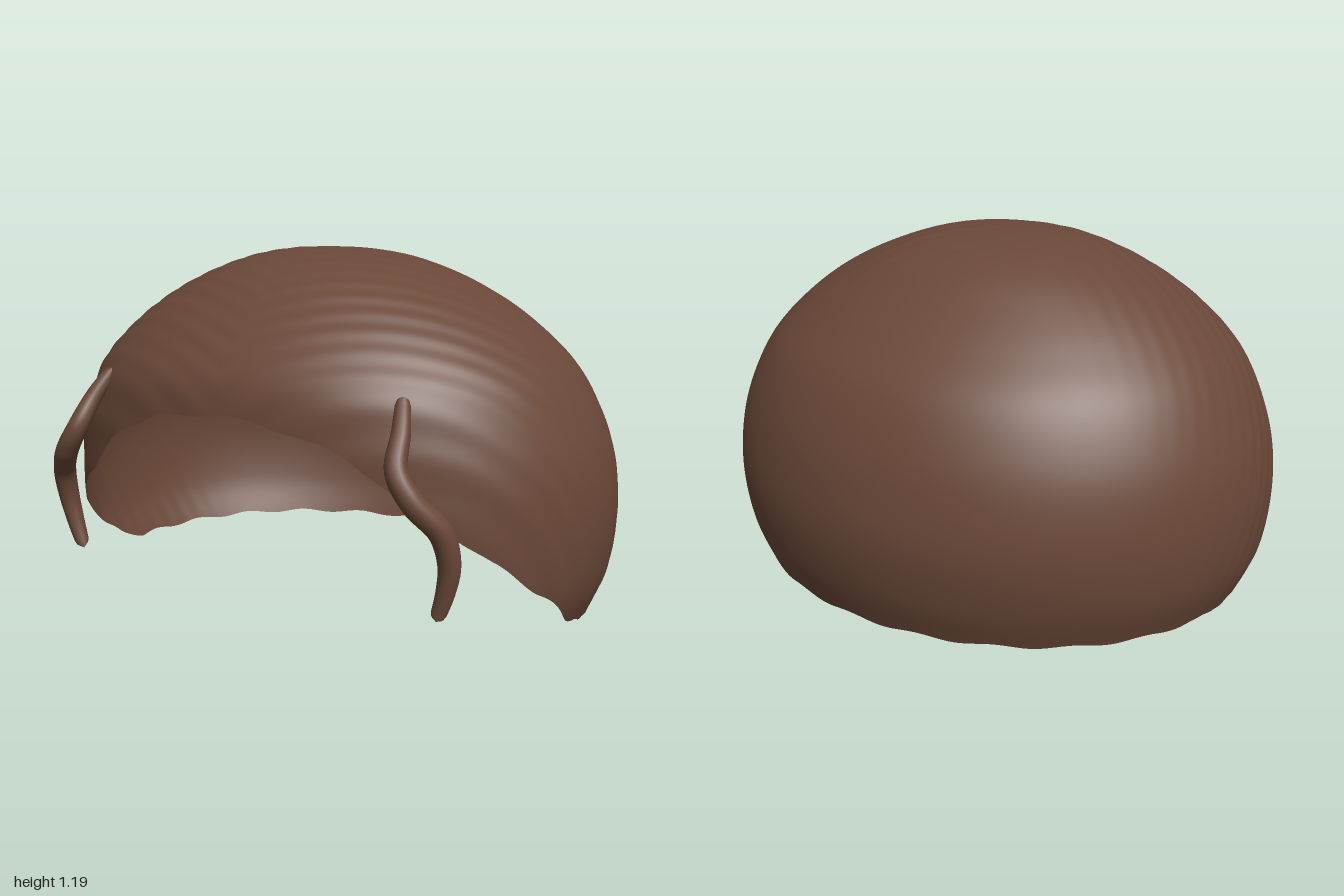
import * as THREE from 'three';

const brown = new THREE.MeshStandardMaterial({ color: 0x6a4838, side: THREE.DoubleSide });
brown.name = 'hair brown';

// Levels of the cap from bottom to crown: half width, height, front z, back z
const levels = [
  [0.915, 0, 0.74, -0.71], [0.975, 0.15, 0.76, -0.76], [0.997, 0.33, 0.77, -0.785],
  [0.985, 0.5, 0.78, -0.765], [0.94, 0.65, 0.782, -0.72], [0.86, 0.8, 0.76, -0.64],
  [0.75, 0.92, 0.68, -0.52], [0.62, 1.02, 0.58, -0.4], [0.47, 1.1, 0.48, -0.29],
  [0.31, 1.16, 0.36, -0.16], [0.16, 1.19, 0.23, -0.01], [0, 1.198, 0.1, 0.1],
];
const frontCurve = new THREE.CatmullRomCurve3(
  levels.map(([w, y, f]) => new THREE.Vector3(w, y, f)), false, 'catmullrom', 0.5);
const backCurve = new THREE.CatmullRomCurve3(
  levels.map(([, y, , b]) => new THREE.Vector3(0, y, b)), false, 'catmullrom', 0.5);

// Height of the lower edge for a given depth, as [z, y]
const rim = [[-1, 0.01], [0.08, 0.01], [0.2, 0.05], [0.4, 0.2], [0.52, 0.31],
  [0.64, 0.45], [0.72, 0.62], [0.78, 0.715]];
function rimHeight(z) {
  let i = 1;
  while (i < rim.length - 1 && z > rim[i][0]) i++;
  const [z0, y0] = rim[i - 1], [z1, y1] = rim[i];
  return y0 + (y1 - y0) * Math.min(1, (z - z0) / (z1 - z0));
}

const power = (v, e) => Math.sign(v) * Math.abs(v) ** e;

// Curve parameter at which the profile reaches height y
function levelAt(y) {
  let lo = 0, hi = 1;
  for (let k = 0; k < 24; k++) {
    const mid = (lo + hi) / 2;
    if (frontCurve.getPoint(mid).y < y) lo = mid; else hi = mid;
  }
  return lo;
}

// Open shell with a slanted front edge and fine combed ripples
function makeCap() {
  const cols = 300, rows = 90, pos = [], index = [];
  const starts = [], angles = [];
  for (let j = 0; j < cols; j++) {
    const a = (j / cols) * Math.PI * 2;
    angles.push(a);
    const z = 0.05 + 0.73 * power(Math.cos(a), 0.92);
    starts.push(levelAt(rimHeight(z) + 0.006 * Math.sin(a * 22)));
  }
  for (let i = 0; i <= rows; i++) {
    for (let j = 0; j < cols; j++) {
      const t = starts[j] + (1 - starts[j]) * (i / rows);
      const f = frontCurve.getPoint(t), b = backCurve.getPoint(t);
      const s = Math.sin(angles[j]), c = Math.cos(angles[j]);
      const mid = 0.05 + 0.05 * t ** 4;
      const e = c > 0 ? 0.92 : 1;
      const x = f.x * power(s, e);
      const z = mid + (c > 0 ? f.z - mid : mid - b.z) * power(c, e);
      const mask = THREE.MathUtils.smoothstep(z, -0.5, 0.2);
      const k = 1 + 0.0016 * mask * Math.sin(75 * (z + 0.5 * Math.abs(x) - 0.4 * f.y));
      pos.push(x * k, 0.4 + (f.y - 0.4) * k, z * k);
      if (i < rows) {
        const n = (j + 1) % cols, p = i * cols, q = p + cols;
        index.push(p + j, p + n, q + n, p + j, q + n, q + j);
      }
    }
  }
  const geo = new THREE.BufferGeometry();
  geo.setAttribute('position', new THREE.Float32BufferAttribute(pos, 3));
  geo.setIndex(index);
  geo.computeVertexNormals();
  return geo;
}

// Tapered curved lock; side is +1 for left, -1 for right
function makeLock(side) {
  const path = new THREE.CatmullRomCurve3([
    [0.55, 0.8, 0.61], [0.58, 0.71, 0.68], [0.6, 0.61, 0.745], [0.65, 0.53, 0.745],
    [0.715, 0.44, 0.695], [0.73, 0.34, 0.665], [0.715, 0.25, 0.655], [0.685, 0.155, 0.652],
  ].map(([x, y, z]) => new THREE.Vector3(x * side, y, z)));
  const segs = 48, radial = 14;
  const geo = new THREE.TubeGeometry(path, segs, 1, radial);
  const p = geo.attributes.position, v = new THREE.Vector3();
  for (let i = 0; i <= segs; i++) {
    const u = i / segs, centre = path.getPointAt(u);
    const ends = Math.sqrt(Math.max(0, 1 - Math.max(0, 1 - u / 0.05, (u - 0.95) / 0.05) ** 2));
    const r = (0.022 + 0.016 * Math.sin(Math.PI * u ** 1.1)) * ends;
    for (let j = 0; j <= radial; j++) {
      const n = i * (radial + 1) + j;
      v.fromBufferAttribute(p, n).sub(centre).multiplyScalar(r).add(centre);
      p.setXYZ(n, v.x, v.y, v.z);
    }
  }
  return geo;
}

export function createModel() {
  const group = new THREE.Group();
  group.name = 'hair';
  const add = (name, geo) => {
    const mesh = new THREE.Mesh(geo, brown);
    mesh.name = name;
    group.add(mesh);
  };
  add('hairCap', makeCap());
  add('leftLock', makeLock(1));
  add('rightLock', makeLock(-1));
  return group;
}
